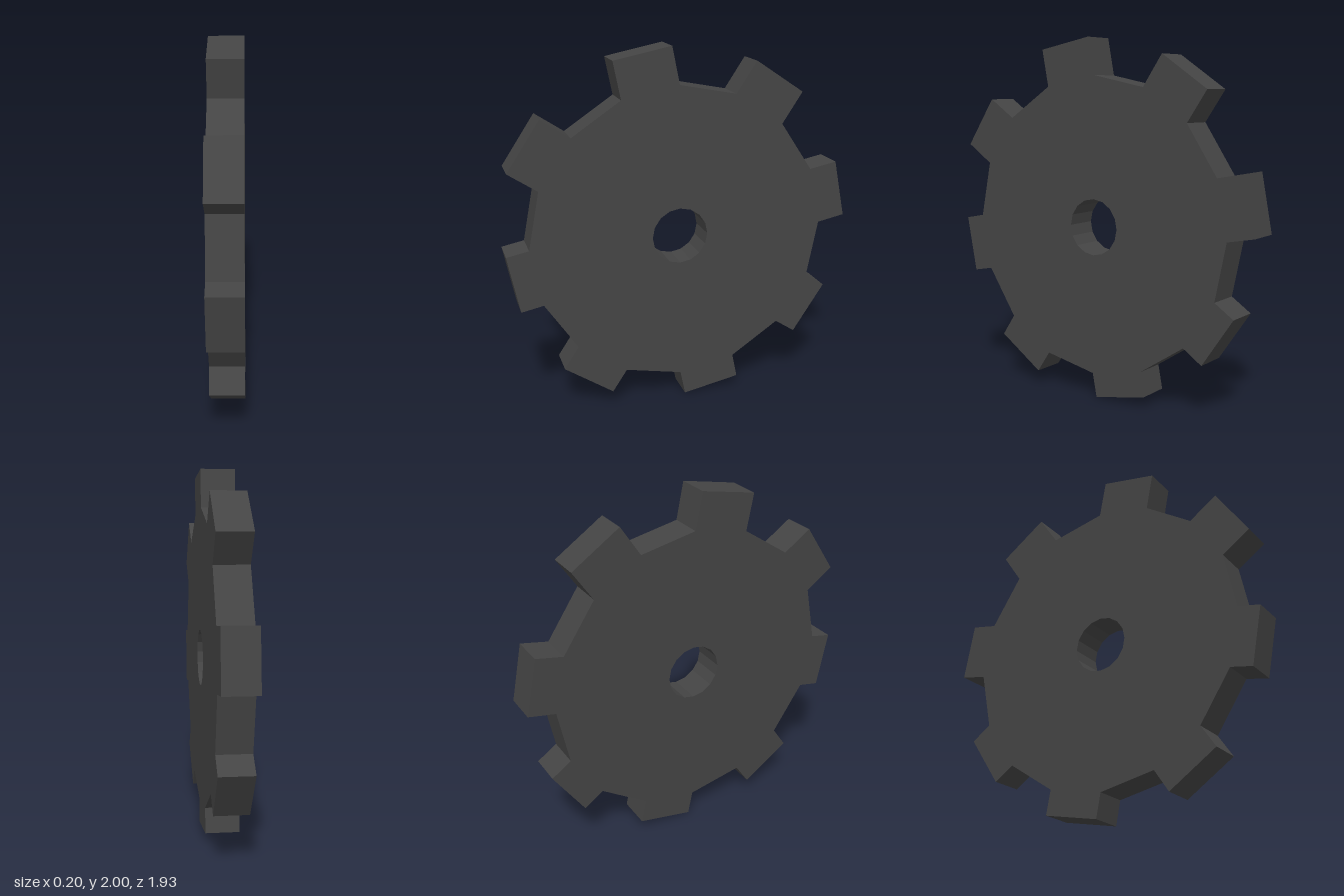
import * as THREE from 'three';

const SIDES = 16;
const RADIUS = 0.828;
const HOLE_RADIUS = 0.156;
const THICKNESS = 0.187;
const TILT = 0.009;
// Height of each tooth, one on every second side of the disc
const TEETH = [0.157, 0.205, 0.208, 0.189, 0.125, 0.147, 0.138, 0.134];

const corner = (i, r) => {
  const a = (i / SIDES) * Math.PI * 2;
  return new THREE.Vector2(Math.cos(a) * r, Math.sin(a) * r);
};

export function createModel() {
  const group = new THREE.Group();
  group.name = 'gear';

  // Outline: each tooth is one side of the disc pushed straight outward
  const outline = [];
  TEETH.forEach((height, k) => {
    const a = corner(2 * k, RADIUS);
    const b = corner(2 * k + 1, RADIUS);
    const out = corner(2 * k + 0.5, height);
    outline.push(a, a.clone().add(out), b.clone().add(out), b);
  });
  const shape = new THREE.Shape(outline);

  // Axle hole
  const hole = [];
  for (let i = 0; i < SIDES; i++) hole.push(corner(-i, HOLE_RADIUS));
  shape.holes.push(new THREE.Path(hole));

  // Extrude, then turn the axle from z to x
  const geometry = new THREE.ExtrudeGeometry(shape, { depth: THICKNESS, bevelEnabled: false });
  geometry.translate(0, 0, -THICKNESS / 2);
  geometry.rotateY(Math.PI / 2);

  const material = new THREE.MeshStandardMaterial({ color: 0x444444, flatShading: true });
  const wheel = new THREE.Mesh(geometry, material);
  wheel.name = 'toothedWheel';
  wheel.position.set(-0.003, 0.968, 0.016);
  wheel.rotation.z = TILT;
  group.add(wheel);
  return group;
}
